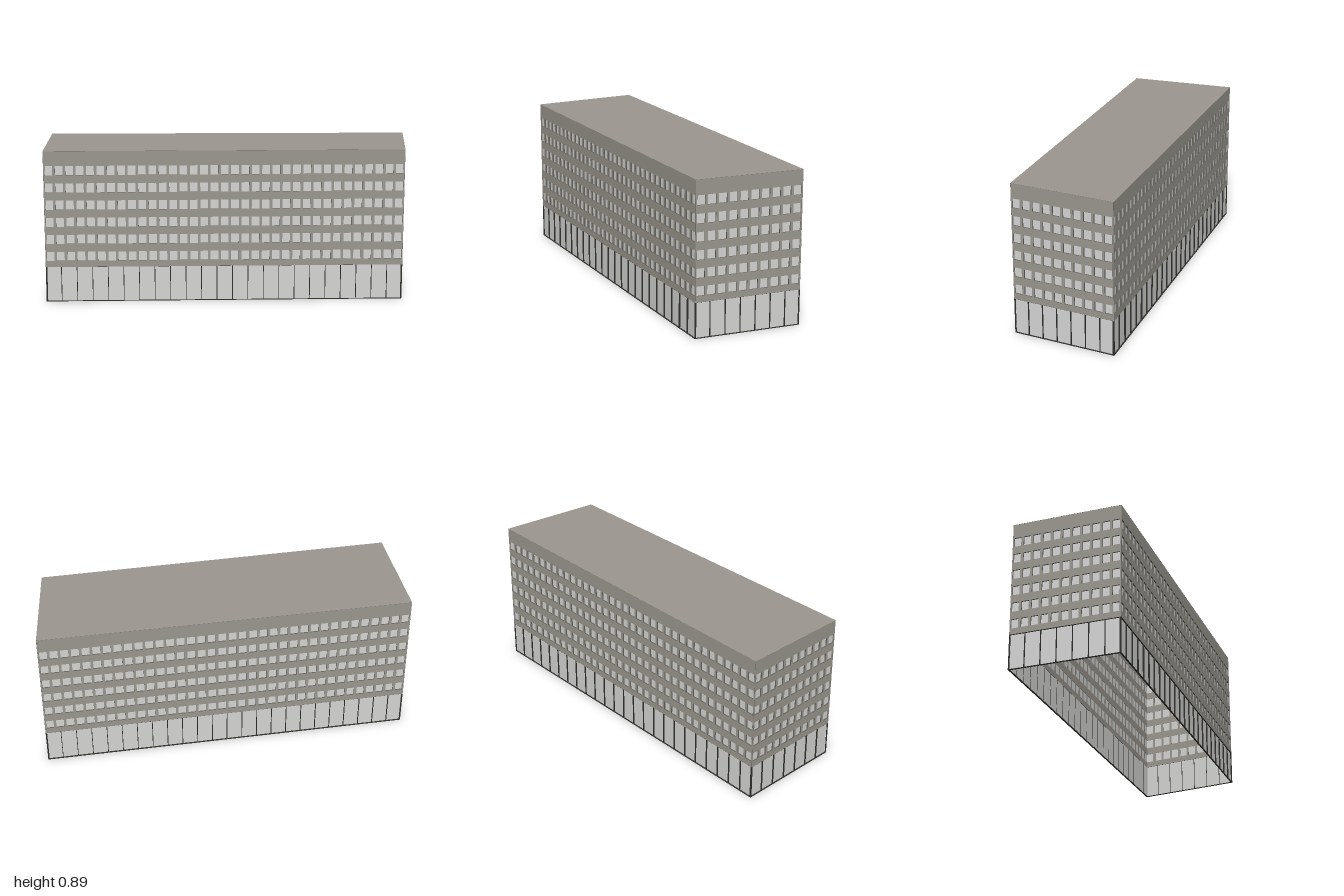
import * as THREE from 'three';

const concrete = new THREE.MeshStandardMaterial({ color: 0x9b978f, side: THREE.DoubleSide });
concrete.name = 'concrete';
const glass = new THREE.MeshStandardMaterial({ color: 0xd5d6d4, side: THREE.DoubleSide });
glass.name = 'pale glass';
const reveal = new THREE.MeshStandardMaterial({ color: 0x65645f });
reveal.name = 'grey window reveal';
const dark = new THREE.MeshStandardMaterial({ color: 0x30312d });
dark.name = 'dark mullion';

const HEIGHT = 0.89, BASE = 0.207, DEPTH = 0.009;
const FLOORS = 6, FLOOR_STEP = 0.1012, SILL = 0.243, WINDOW_H = 0.055;

// Footprint corners [x, z], in order around the building
const corners = [[-0.938, -0.58], [0.42, 1], [0.938, 0.66], [-0.452, -1]];

function rect(Type, x0, y0, x1, y1) {
  const r = new Type();
  r.moveTo(x0, y0);
  r.lineTo(x1, y0);
  r.lineTo(x1, y1);
  r.lineTo(x0, y1);
  r.closePath();
  return r;
}

// Plate pierced by a grid of openings, set back from the wall plane
function piercedPlate(name, shape, materials) {
  const geometry = new THREE.ExtrudeGeometry(shape, { depth: DEPTH, bevelEnabled: false });
  const mesh = new THREE.Mesh(geometry, materials);
  mesh.name = name;
  mesh.position.z = -DEPTH;
  return mesh;
}

function createWall(name, [ax, az], [bx, bz]) {
  const wall = new THREE.Group();
  wall.name = name;
  const length = Math.hypot(bx - ax, bz - az);
  const inset = 0.001;

  // Upper floors: spandrels and piers around rows of windows
  const facade = rect(THREE.Shape, inset, BASE, length - inset, HEIGHT - 0.001);
  const windows = Math.round(length / 0.06);
  const pitch = length / windows;
  for (let f = 0; f < FLOORS; f++) {
    const y = SILL + f * FLOOR_STEP;
    for (let i = 0; i < windows; i++) {
      const x = i * pitch + 0.0075;
      facade.holes.push(rect(THREE.Path, x, y, x + pitch - 0.015, y + WINDOW_H));
    }
  }
  wall.add(piercedPlate('upperFacade', facade, [concrete, reveal]));

  // Ground floor: tall panes between very slim mullions
  const frame = rect(THREE.Shape, inset, 0, length - inset, BASE);
  const panes = Math.round(length / 0.09);
  const bay = length / panes;
  for (let i = 0; i < panes; i++) {
    frame.holes.push(rect(THREE.Path, i * bay + 0.0018, 0.003, (i + 1) * bay - 0.0018, BASE - 0.0005));
  }
  wall.add(piercedPlate('groundFloorFrame', frame, dark));

  // Glazing behind all openings, showing on both faces
  const addGlass = (label, y0, y1, z) => {
    const pane = new THREE.Mesh(new THREE.PlaneGeometry(length - 0.012, y1 - y0), glass);
    pane.name = label;
    pane.position.set(length / 2, (y0 + y1) / 2, z);
    wall.add(pane);
  };
  addGlass('groundFloorGlass', 0.002, BASE, -DEPTH + 0.001);
  for (let f = 0; f < FLOORS; f++) {
    const y = SILL + f * FLOOR_STEP;
    addGlass('windowGlass', y - 0.002, y + WINDOW_H + 0.002, -DEPTH + 0.001);
  }

  wall.position.set(ax, 0, az);
  wall.rotation.y = Math.atan2(-(bz - az), bx - ax);
  return wall;
}

export function createModel() {
  const model = new THREE.Group();
  model.name = 'officeBlock';

  const names = ['longFrontWall', 'frontEndWall', 'longBackWall', 'backEndWall'];
  corners.forEach((corner, i) => model.add(createWall(names[i], corner, corners[(i + 1) % 4])));

  // Flat roof; the underside of the block stays open
  const outline = new THREE.Shape(corners.map(([x, z]) => new THREE.Vector2(x, -z)));
  const roof = new THREE.Mesh(new THREE.ShapeGeometry(outline), concrete);
  roof.name = 'roof';
  roof.rotation.x = -Math.PI / 2;
  roof.position.y = HEIGHT;
  model.add(roof);

  return model;
}
